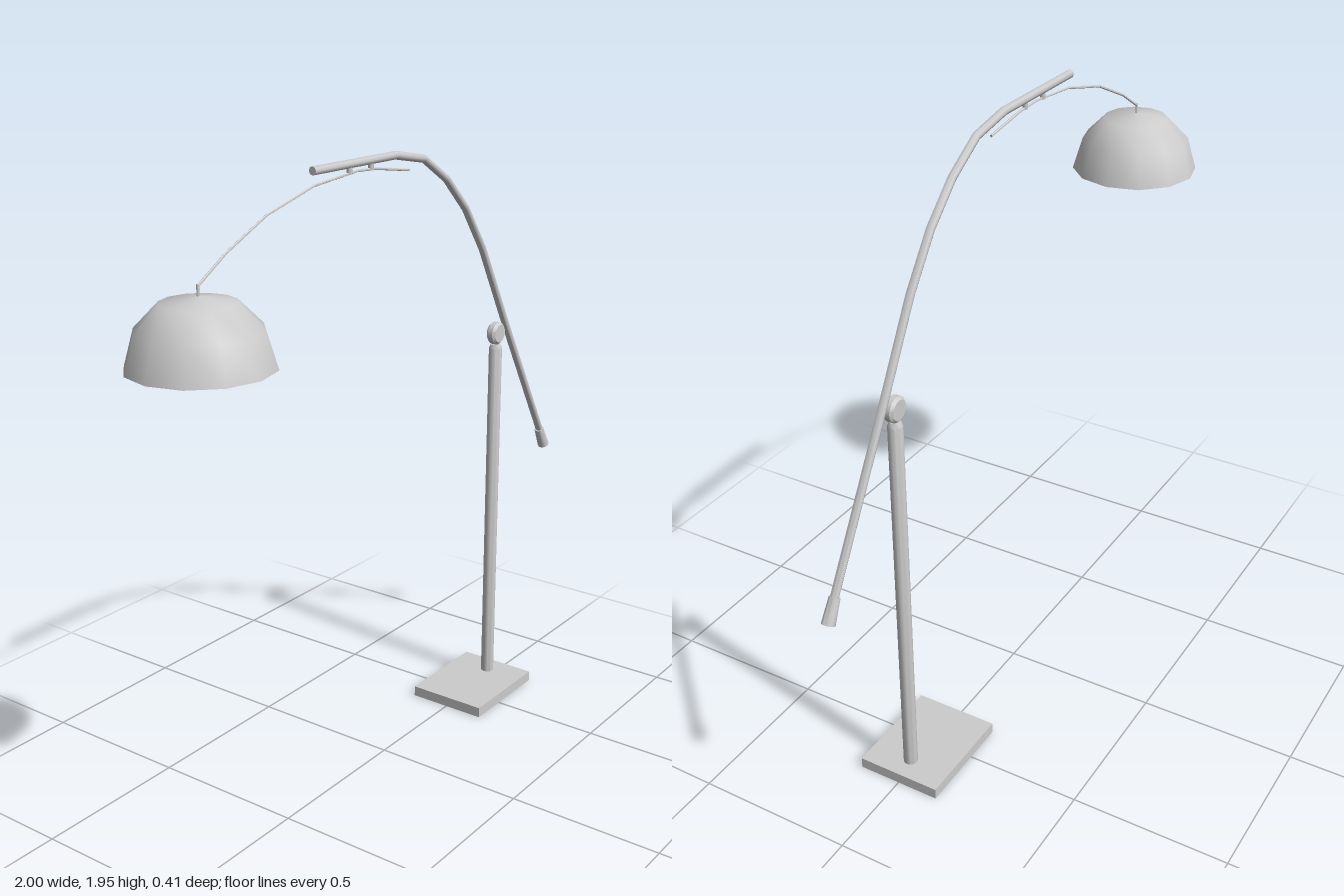
import * as THREE from 'three';
import { toCreasedNormals } from 'three/addons/utils/BufferGeometryUtils.js';

const grey = new THREE.MeshStandardMaterial({ color: 0xcccccc });
const thin = new THREE.MeshStandardMaterial({ color: 0xcccccc, side: THREE.DoubleSide });

function add(group, name, geometry, material = grey) {
  const mesh = new THREE.Mesh(geometry, material);
  mesh.name = name;
  group.add(mesh);
  return mesh;
}

// Turned part from [radius, height] pairs, bottom to top
function turned(profile, sides) {
  return new THREE.LatheGeometry(profile.map(([r, y]) => new THREE.Vector2(r, y)), sides);
}

// Capped round bar along a bent path in the xy plane, with mitred corners
function bentBar(path, radius, sides) {
  const pts = path.map(([x, y]) => new THREE.Vector2(x, y));
  const last = pts.length - 1;
  const pos = [], index = [];
  const ring = (p, n, r) => {
    for (let j = 0; j < sides; j++) {
      const a = (j / sides) * Math.PI * 2;
      pos.push(p.x + n.x * r * Math.cos(a), p.y + n.y * r * Math.cos(a), r * Math.sin(a));
    }
  };
  pts.forEach((p, i) => {
    const before = p.clone().sub(pts[Math.max(i - 1, 0)]).normalize();
    const after = pts[Math.min(i + 1, last)].clone().sub(p).normalize();
    const t = before.add(after).normalize();
    const n = new THREE.Vector2(-t.y, t.x);
    if (i === 0) ring(p, n, 0);
    ring(p, n, radius);
    if (i === last) ring(p, n, 0);
  });
  for (let i = 0; i < last + 2; i++) {
    for (let j = 0; j < sides; j++) {
      const k = (j + 1) % sides;
      const a = i * sides + j, b = i * sides + k;
      const c = a + sides, d = b + sides;
      if (i > 0) index.push(a, b, c);
      if (i === 0) index.push(a, d, c);
      else if (i < last + 1) index.push(b, d, c);
    }
  }
  const g = new THREE.BufferGeometry();
  g.setAttribute('position', new THREE.Float32BufferAttribute(pos, 3));
  g.setIndex(index);
  return toCreasedNormals(g, 0.9);
}

export function createModel() {
  const lamp = new THREE.Group();
  lamp.name = 'arcFloorLamp';

  // Base: hollow plate, open underneath (bottom face dropped)
  const plate = new THREE.BoxGeometry(0.336, 0.035, 0.27);
  const faces = Array.from(plate.index.array);
  faces.splice(18, 6);
  plate.setIndex(faces);
  plate.clearGroups();
  add(lamp, 'base', plate, thin).position.set(0.538, 0.0175, 0);

  // Upright pole with a bevelled top
  const pole = turned([[0.022, 0.03], [0.022, 1.238], [0.016, 1.252], [0, 1.252]], 12);
  add(lamp, 'pole', toCreasedNormals(pole, 0.6)).position.x = 0.635;

  // Pivot disc between pole and arm
  const disc = turned([[0, -0.017], [0.03, -0.017], [0.038, -0.009],
    [0.038, 0.009], [0.03, 0.017], [0, 0.017]], 20);
  const pivot = add(lamp, 'pivotDisc', toCreasedNormals(disc, 0.5));
  pivot.rotation.x = Math.PI / 2;
  pivot.position.set(0.635, 1.29, 0);

  // Main arm
  add(lamp, 'arm', bentBar([[-0.33, 1.94], [0.055, 1.94], [0.2, 1.914], [0.325, 1.838],
    [0.435, 1.733], [0.54, 1.588], [0.69, 1.318], [0.955, 0.86]], 0.0125, 8));

  // Tapered counterweight on the lower end of the arm
  const weight = add(lamp, 'counterweight',
    toCreasedNormals(new THREE.CylinderGeometry(0.016, 0.02, 0.077, 10), 0.7));
  weight.position.set(0.965, 0.837, 0);
  weight.rotation.z = Math.atan2(0.036, 0.068);

  // Thin curved rod carrying the shade
  add(lamp, 'shadeRod', bentBar([[-0.797, 1.708], [-0.69, 1.773], [-0.524, 1.848],
    [-0.32, 1.9], [-0.128, 1.917], [-0.04, 1.913], [0.123, 1.89]], 0.004, 6));

  // Clips joining the rod to the arm
  for (const x of [-0.165, -0.064]) {
    add(lamp, 'rodClip', new THREE.CylinderGeometry(0.008, 0.008, 0.022, 8))
      .position.set(x, 1.922, 0);
  }

  // Shade stem
  add(lamp, 'shadeStem', new THREE.CylinderGeometry(0.004, 0.004, 0.04, 6))
    .position.set(-0.797, 1.694, 0);

  // Open dome shade
  const dome = turned([[0.203, 1.495], [0.173, 1.597], [0.104, 1.668], [0, 1.684]], 12);
  add(lamp, 'shade', dome, thin).position.x = -0.797;

  return lamp;
}
